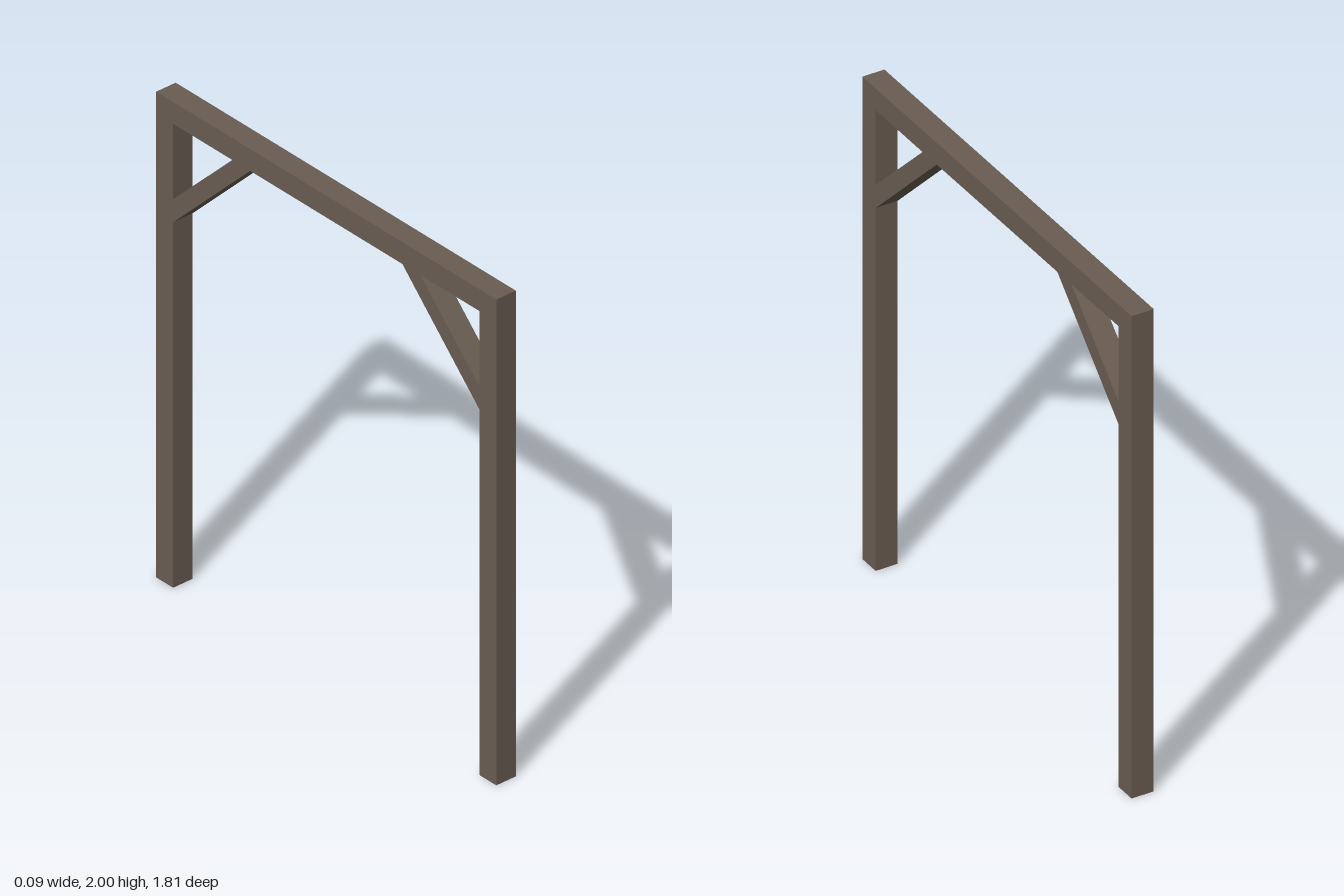
import * as THREE from 'three';

export function createModel() {
  const model = new THREE.Group();
  model.name = 'timberFrame';
  const wood = new THREE.MeshStandardMaterial({ color: 0x6a5d52, side: THREE.DoubleSide, flatShading: true });
  wood.name = 'dark weathered wood';

  const T = 0.09;          // timber thickness
  const HALF = 0.905;      // half the overall span
  const H = 2;             // overall height
  const INNER = HALF - T;  // inner face of the posts
  const UNDER = H - T;     // underside of the beam

  const add = (geometry, name) => {
    const mesh = new THREE.Mesh(geometry, wood);
    mesh.name = name;
    model.add(mesh);
    return mesh;
  };

  // Top beam over the full span
  add(new THREE.BoxGeometry(T, T, HALF * 2), 'topBeam').position.y = H - T / 2;

  for (const [side, label] of [[1, 'front'], [-1, 'back']]) {
    // Hollow post: four walls, open at the foot and under the beam
    const walls = new THREE.BoxGeometry(T, UNDER, T);
    const index = Array.from(walls.index.array);
    walls.setIndex([...index.slice(0, 12), ...index.slice(24)]);
    walls.clearGroups();
    add(walls, label + 'Post').position.set(0, UNDER / 2, side * (HALF - T / 2));

    // Diagonal brace, mitred against the post and the beam
    const outline = new THREE.Shape([
      [INNER, 1.505], [INNER, 1.6], [0.5, UNDER], [0.405, UNDER],
    ].map(([z, y]) => new THREE.Vector2(side * z, y)));
    const brace = new THREE.ExtrudeGeometry(outline, { depth: T, bevelEnabled: false });
    brace.translate(0, 0, -T / 2).rotateY(-Math.PI / 2);
    add(brace, label + 'Brace');
  }
  return model;
}
